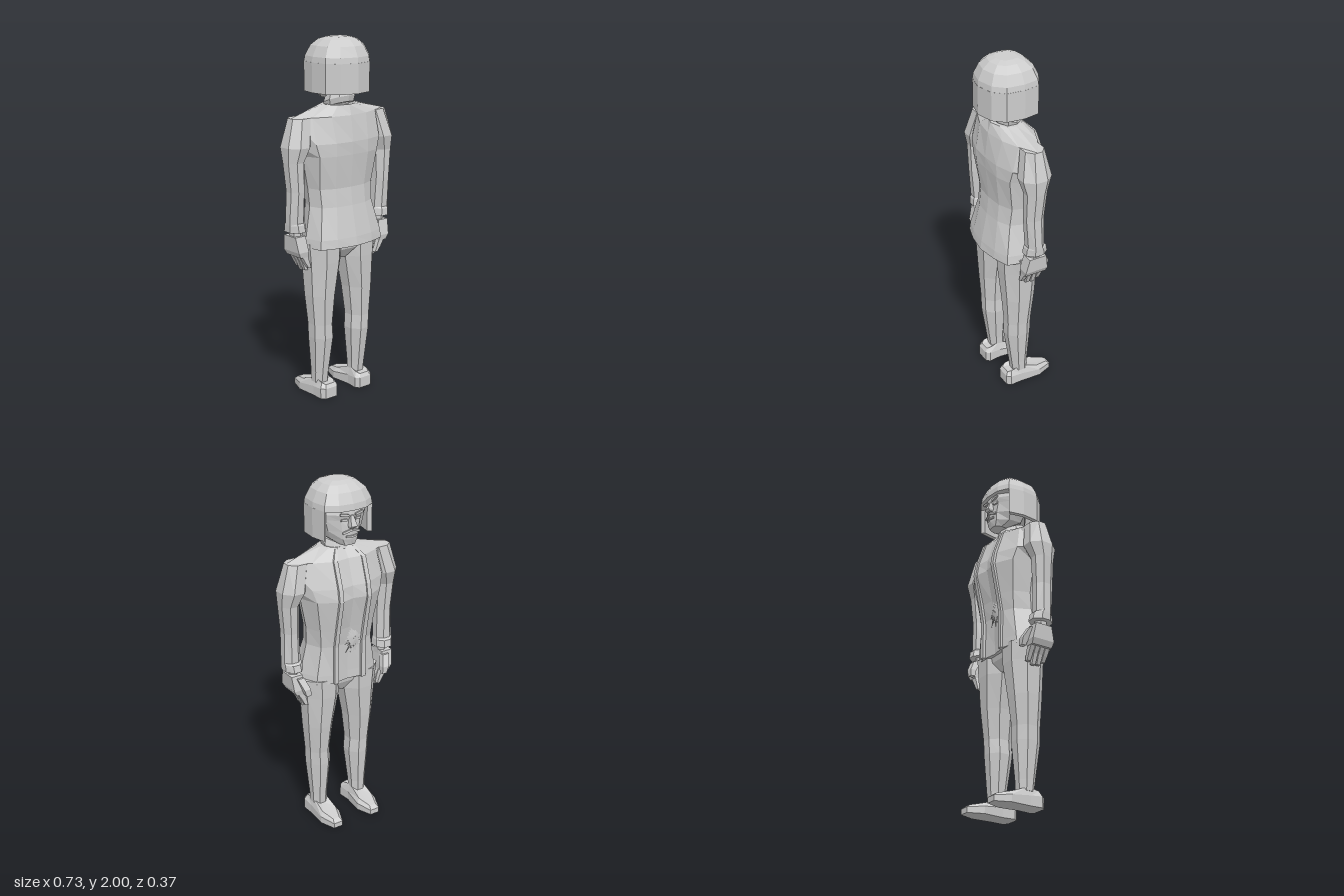
import * as THREE from 'three';

const grey = new THREE.MeshStandardMaterial({ color: 0xcccccc });
grey.name = 'grey';

// Closed faceted solid through rings of [x, y, z] points, with fan caps
function loft(rings) {
  const p = [];
  const n = rings[0].length;
  for (let k = 0; k < rings.length - 1; k++) {
    const a = rings[k], b = rings[k + 1];
    for (let i = 0; i < n; i++) {
      const j = (i + 1) % n;
      p.push(...a[i], ...b[i], ...b[j], ...a[i], ...b[j], ...a[j]);
    }
  }
  const mid = r => [0, 1, 2].map(c => r.reduce((s, q) => s + q[c], 0) / n);
  const lo = rings[0], hi = rings[rings.length - 1], cl = mid(lo), ch = mid(hi);
  for (let i = 0; i < n; i++) {
    const j = (i + 1) % n;
    p.push(...cl, ...lo[i], ...lo[j], ...ch, ...hi[j], ...hi[i]);
  }
  const g = new THREE.BufferGeometry();
  g.setAttribute('position', new THREE.Float32BufferAttribute(p, 3));
  g.computeVertexNormals();
  return g;
}

// Regular ring with n sides whose flats lie at rx and rz
function ring(y, cx, cz, rx, rz, n = 8) {
  return Array.from({ length: n }, (_, i) => {
    const t = ((i + 0.5) / n) * Math.PI * 2, c = Math.cos(Math.PI / n);
    return [cx + rx * Math.cos(t) / c, y, cz + rz * Math.sin(t) / c];
  });
}

// Mirrored ring from half an outline, listed from face side to back
function halfRing(y, half) {
  const other = half.slice(1, -1).reverse().map(([x, z]) => [-x, z]);
  return [...half, ...other].map(([x, z]) => [x, y, z]);
}

// Rectangle ring between two corners
const rect = (y, x0, x1, z0, z1) => [[x0, y, z0], [x1, y, z0], [x1, y, z1], [x0, y, z1]];

function mirror(g) {
  const m = g.clone(), a = m.attributes.position.array;
  for (let i = 0; i < a.length; i += 9) {
    for (let c = 0; c < 3; c++) [a[i + 3 + c], a[i + 6 + c]] = [a[i + 6 + c], a[i + 3 + c]];
    for (let v = 0; v < 9; v += 3) a[i + v] *= -1;
  }
  m.computeVertexNormals();
  return m;
}

export function createModel() {
  const model = new THREE.Group();
  model.name = 'standingFigure';
  const add = (name, g) => {
    const m = new THREE.Mesh(g, grey);
    m.name = name;
    model.add(m);
  };
  const pair = (name, g) => {
    add(name + 'Left', g);
    add(name + 'Right', mirror(g));
  };

  // Jacket body
  add('jacket', loft([
    halfRing(0.88, [[0, -0.085], [0.1, -0.1], [0.19, -0.07], [0.24, 0.03], [0.215, 0.135], [0.12, 0.165], [0, 0.182]]),
    halfRing(0.93, [[0, -0.085], [0.1, -0.1], [0.185, -0.07], [0.235, 0.03], [0.21, 0.13], [0.12, 0.16], [0, 0.175]]),
    halfRing(1.1, [[0, -0.09], [0.1, -0.1], [0.16, -0.07], [0.2, 0.02], [0.175, 0.095], [0.1, 0.13], [0, 0.14]]),
    halfRing(1.2, [[0, -0.105], [0.1, -0.118], [0.17, -0.08], [0.205, 0.01], [0.18, 0.085], [0.1, 0.12], [0, 0.128]]),
    halfRing(1.38, [[0, -0.14], [0.085, -0.16], [0.2, -0.1], [0.24, 0.01], [0.2, 0.11], [0.11, 0.14], [0, 0.143]]),
    halfRing(1.45, [[0, -0.135], [0.085, -0.148], [0.22, -0.085], [0.29, 0.01], [0.22, 0.105], [0.11, 0.14], [0, 0.146]]),
    halfRing(1.59, [[0, -0.09], [0.09, -0.1], [0.2, -0.055], [0.32, 0.015], [0.22, 0.07], [0.12, 0.11], [0, 0.128]]),
    halfRing(1.645, [[0, -0.045], [0.05, -0.05], [0.08, -0.03], [0.11, 0.015], [0.09, 0.06], [0.06, 0.09], [0, 0.11]]),
  ]));

  // Raised edges of the open jacket
  const edge = [[0.88, -0.114], [1.02, -0.113], [1.1, -0.113], [1.2, -0.13], [1.38, -0.166], [1.45, -0.155], [1.59, -0.106], [1.64, -0.055]];
  pair('jacketEdge', loft(edge.map(([y, z]) => rect(y, y > 1.6 ? 0.045 : 0.075, y > 1.6 ? 0.06 : 0.1, z, z + 0.03))));

  // Torn patch of shards on the belly
  let seed = 7;
  const rnd = () => (seed = (seed * 16807) % 2147483647) / 2147483647;
  for (let i = 0; i < 26; i++) {
    const t = (i / 26) * Math.PI * 2;
    const r = (i % 2 ? 0.075 : 0.1) + rnd() * 0.025;
    const shard = new THREE.ConeGeometry(0.014, r, 3).toNonIndexed();
    shard.computeVertexNormals();
    shard.translate(0, r / 2, 0);
    shard.scale(1, 1, 0.6);
    shard.rotateX(0.06 + rnd() * 0.12);
    shard.rotateZ(t);
    shard.scale(0.65, 1, 1);
    shard.translate(-0.03, 1.13, -0.106);
    add('tornShard', shard);
  }

  // Sleeves with flared cuffs
  pair('sleeve', loft([
    ring(0.98, 0.295, 0.012, 0.053, 0.064),
    ring(1.02, 0.298, 0.014, 0.052, 0.058),
    ring(1.03, 0.3, 0.018, 0.05, 0.048),
    ring(1.2, 0.3, 0.025, 0.045, 0.053),
    ring(1.36, 0.307, 0.02, 0.053, 0.06),
    ring(1.44, 0.29, 0.015, 0.074, 0.085),
    ring(1.59, 0.255, 0.012, 0.066, 0.055),
  ]));

  // Hands, four fingers and thumb
  pair('wrist', loft([ring(0.93, 0.29, 0.015, 0.03, 0.032, 6), ring(1.0, 0.29, 0.015, 0.03, 0.032, 6)]));
  pair('palm', loft([
    rect(0.84, 0.255, 0.305, -0.05, 0.075),
    rect(0.87, 0.255, 0.322, -0.055, 0.08),
    rect(0.955, 0.262, 0.33, -0.04, 0.06),
  ]));
  for (let i = 0; i < 4; i++) {
    const z = -0.034 + i * 0.031, tip = [0.765, 0.75, 0.755, 0.775][i];
    pair('finger', loft([
      ring(tip, 0.24, z, 0.009, 0.011, 4),
      ring(0.805, 0.256, z, 0.014, 0.013, 4),
      ring(0.855, 0.28, z, 0.02, 0.014, 4),
    ]));
  }
  pair('thumb', loft([
    ring(0.84, 0.25, -0.075, 0.014, 0.013, 4),
    ring(0.88, 0.258, -0.07, 0.02, 0.018, 4),
    ring(0.94, 0.28, -0.035, 0.02, 0.02, 4),
  ]));

  // Trousers
  add('seat', loft([ring(0.79, 0, 0.02, 0.02, 0.05), ring(0.85, 0, 0.025, 0.12, 0.09), ring(0.92, 0, 0.025, 0.21, 0.1)]));
  pair('trouserLeg', loft([
    ring(0.08, 0.132, 0.015, 0.045, 0.045),
    ring(0.14, 0.132, 0.018, 0.047, 0.05),
    ring(0.35, 0.13, 0.025, 0.065, 0.073),
    ring(0.43, 0.134, 0.024, 0.063, 0.073),
    ring(0.6, 0.132, 0.02, 0.08, 0.088),
    ring(0.79, 0.12, 0.018, 0.103, 0.103),
    ring(0.9, 0.122, 0.018, 0.113, 0.107),
  ]));

  // Shoes, with the upper sloping down to the toe
  const sole = [[0.098, -0.188], [0.155, -0.188], [0.188, -0.1], [0.182, 0.02], [0.185, 0.09], [0.165, 0.112], [0.085, 0.112], [0.067, 0.09], [0.075, 0.02], [0.064, -0.1]];
  const upperY = [0.03, 0.03, 0.04, 0.055, 0.06, 0.06, 0.06, 0.06, 0.055, 0.04];
  const topY = [0.047, 0.047, 0.065, 0.105, 0.09, 0.08, 0.08, 0.09, 0.105, 0.065];
  pair('shoe', loft([
    sole.map(([x, z]) => [x, 0, z]),
    sole.map(([x, z], i) => [x, upperY[i], z]),
    sole.map(([x, z], i) => [0.127 + (x - 0.127) * 0.72, topY[i], z * 0.88]),
  ]));

  // Neck and tilted collar
  add('neck', loft([ring(1.6, 0, 0.03, 0.06, 0.055), ring(1.78, 0, 0.015, 0.055, 0.05)]));
  const collar = [[1.625, 0.08], [1.655, 0.088], [1.685, 0.078]];
  add('collar', loft(collar.map(([y, r]) =>
    ring(y, 0, 0.027, r, r * 0.9, 10).map(([x, h, z]) => [x, h + z * 0.35, z]))));

  // Face
  add('head', loft([
    halfRing(1.67, [[0, -0.11], [0.03, -0.105], [0.045, -0.07], [0.04, -0.04], [0, -0.03]]),
    halfRing(1.705, [[0, -0.12], [0.045, -0.108], [0.085, -0.045], [0.09, 0.03], [0, 0.07]]),
    halfRing(1.75, [[0, -0.122], [0.05, -0.11], [0.105, -0.055], [0.115, 0.04], [0, 0.12]]),
    halfRing(1.81, [[0, -0.113], [0.06, -0.106], [0.12, -0.055], [0.125, 0.04], [0, 0.13]]),
    halfRing(1.84, [[0, -0.122], [0.06, -0.116], [0.122, -0.06], [0.125, 0.04], [0, 0.13]]),
    halfRing(1.92, [[0, -0.11], [0.05, -0.105], [0.1, -0.05], [0.1, 0.04], [0, 0.1]]),
  ]));
  add('nose', loft([
    rect(1.768, -0.017, 0.017, -0.135, -0.1),
    rect(1.78, -0.02, 0.02, -0.147, -0.1),
    rect(1.835, -0.008, 0.008, -0.125, -0.1),
  ]));
  const plate = (name, x, y, z, w, h, tilt, turn) => {
    const g = new THREE.BoxGeometry(w, h, 0.009).toNonIndexed();
    g.rotateZ(tilt).rotateY(turn).translate(x, y, z);
    pair(name, g);
  };
  plate('eye', 0.043, 1.812, -0.112, 0.034, 0.012, 0, -0.15);
  plate('eyebrow', 0.045, 1.842, -0.121, 0.05, 0.012, 0.2, -0.12);
  plate('moustache', 0.026, 1.75, -0.121, 0.055, 0.012, -0.3, -0.24);
  plate('lip', 0.016, 1.722, -0.123, 0.034, 0.01, 0, -0.24);

  // Bobbed hair: full crown above an open curtain around the sides and back
  const outline = [[0, -0.14], [0.085, -0.13], [0.148, -0.09], [0.165, 0], [0.155, 0.1], [0.1, 0.16], [0, 0.184]];
  const scaled = s => outline.map(([x, z]) => [x * s, 0.02 + (z - 0.02) * s]);
  const crown = [[1.865, 1], [1.9, 0.97], [1.955, 0.81], [1.988, 0.58], [2, 0.35]];
  add('hairCrown', loft(crown.map(([y, s]) => halfRing(y, scaled(s)))));
  const around = half => halfRing(0, half).slice(2, 11);
  const outer = around(outline), inner = around(scaled(0.86));
  add('hairCurtain', loft(outer.map(([x, , z], i) => {
    const [u, , w] = inner[i];
    return [[x, 1.87, z], [x, 1.71, z], [u, 1.71, w], [u, 1.87, w]];
  })));

  return model;
}
